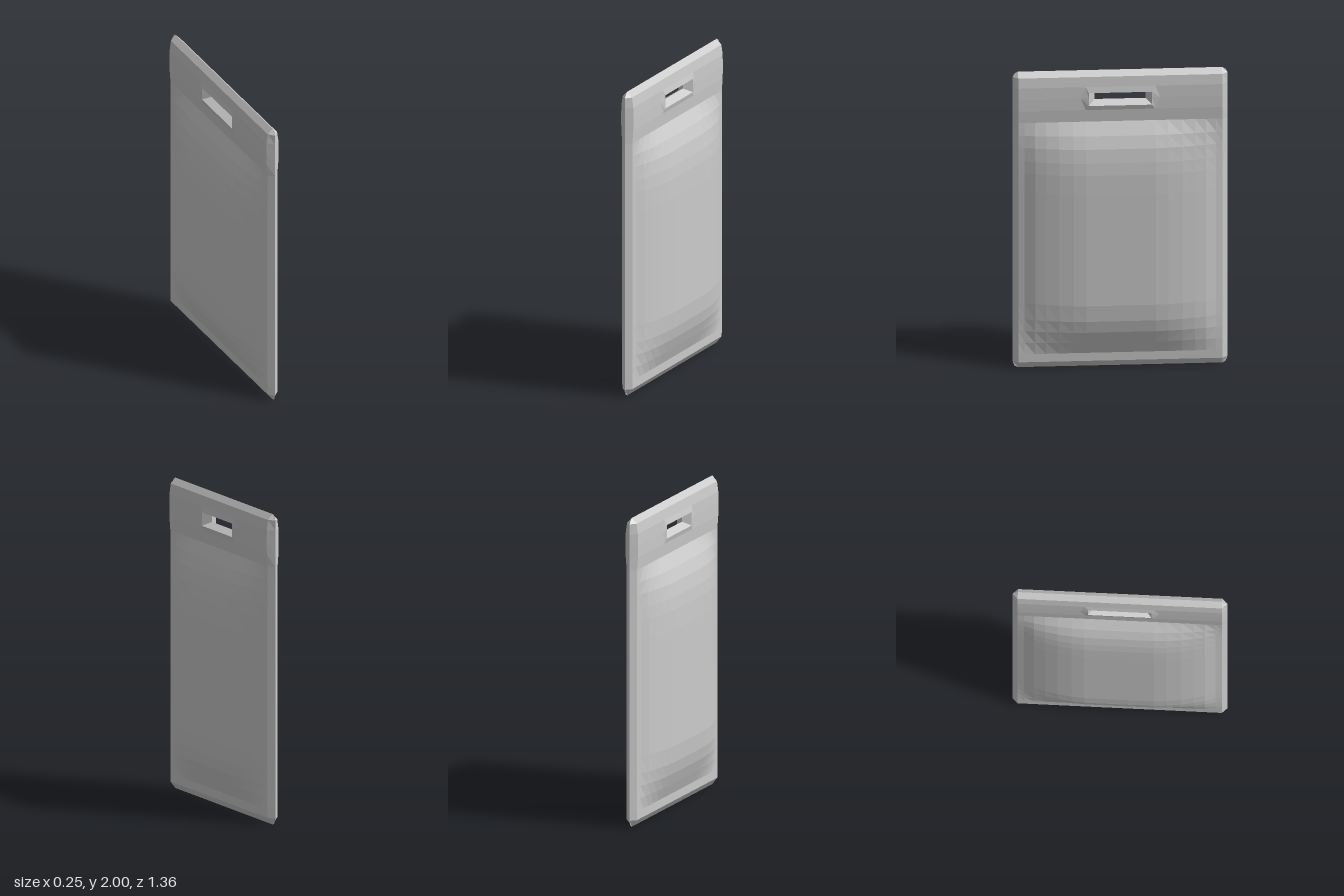
import * as THREE from 'three';

// Grid lines of one padded face: [position, puff amount 0..1]
const halfZ = [[0.22, 1], [0.3, 0.93], [0.39, 0.79], [0.47, 0.6], [0.54, 0.4], [0.605, 0.1], [0.645, 0], [0.68, 0]];
const zLines = [...halfZ.map(([z, p]) => [-z, p]).reverse(), ...halfZ];
// [height, puff, sheet half thickness]
const yLines = [
  [0, 0, 0], [0.045, 0, 0.035], [0.1, 0, 0.036], [0.18, 0.36, 0.036], [0.26, 0.69, 0.036],
  [0.34, 0.89, 0.036], [0.45, 1, 0.036], [0.83, 1, 0.036], [1.2, 1, 0.036], [1.33, 0.97, 0.036],
  [1.41, 0.9, 0.036], [1.5, 0.75, 0.036], [1.58, 0.46, 0.036], [1.665, 0, 0.036],
  [1.745, 0, 0.042], [1.825, 0, 0.043], [1.9, 0, 0.042], [1.965, 0, 0.033], [2, 0, 0],
];
const PUFF = 0.091;

// Point of the face at grid column i and row j, on the +x side
function facePoint(i, j) {
  let [z, pz] = zLines[i];
  let [y, py, base] = yLines[j];
  const endZ = i === 0 || i === zLines.length - 1;
  const endY = j === 0 || j === yLines.length - 1;
  if (endZ) base = 0; // rim ridge
  if (endZ && endY) { // clipped corners
    z -= Math.sign(z) * 0.012;
    y += y > 1 ? -0.012 : 0.012;
  }
  if (y === 1.825 && Math.abs(z) === 0.22) z = Math.sign(z) * 0.25; // pointed slot ends
  return [base + PUFF * pz * py, y, z];
}

// One half of the body; side is +1 (left) or -1 (right)
function halfGeometry(side) {
  const pos = [];
  const tri = (a, b, c) => (side > 0 ? [a, b, c] : [a, c, b])
    .forEach(([x, y, z]) => pos.push(x * side, y, z));
  const quad = (a, b, c, d) => { tri(a, b, c); tri(a, c, d); };

  for (let i = 0; i < zLines.length - 1; i++) {
    for (let j = 0; j < yLines.length - 1; j++) {
      const inSlot = zLines[i][0] === -0.22 && yLines[j][0] >= 1.745 && yLines[j][0] < 1.9;
      if (inSlot) continue;
      const [a, b, c, d] = [facePoint(i, j), facePoint(i, j + 1), facePoint(i + 1, j + 1), facePoint(i + 1, j)];
      const flip = (zLines[i][0] > 0) !== (yLines[j][0] > 0.9);
      if (flip) quad(a, b, c, d); else quad(b, c, d, a);
    }
  }

  // Hand slot: raised collar, then a funnel down to the middle plane
  const ring = (x, z, zMid, y0, y1, xMid = x) => [
    [x, y0, -z], [xMid, 1.825, -zMid], [x, y1, -z],
    [x, y1, z], [xMid, 1.825, zMid], [x, y0, z],
  ];
  const rings = [
    ring(0.042, 0.22, 0.25, 1.745, 1.9, 0.043),
    ring(0.05, 0.2, 0.2, 1.775, 1.862),
    ring(0, 0.16, 0.16, 1.803, 1.846),
  ];
  for (let r = 0; r < 2; r++) {
    for (let k = 0; k < 6; k++) {
      const n = (k + 1) % 6;
      quad(rings[r][k], rings[r][n], rings[r + 1][n], rings[r + 1][k]);
    }
  }

  const geo = new THREE.BufferGeometry();
  geo.setAttribute('position', new THREE.Float32BufferAttribute(pos, 3));
  geo.computeVertexNormals();
  return geo;
}

export function createModel() {
  const group = new THREE.Group();
  group.name = 'paddedCaseWithHandSlot';
  const material = new THREE.MeshStandardMaterial({ color: 0xcccccc, flatShading: true });
  for (const [name, side] of [['leftPaddedFace', 1], ['rightPaddedFace', -1]]) {
    const mesh = new THREE.Mesh(halfGeometry(side), material);
    mesh.name = name;
    group.add(mesh);
  }
  return group;
}
